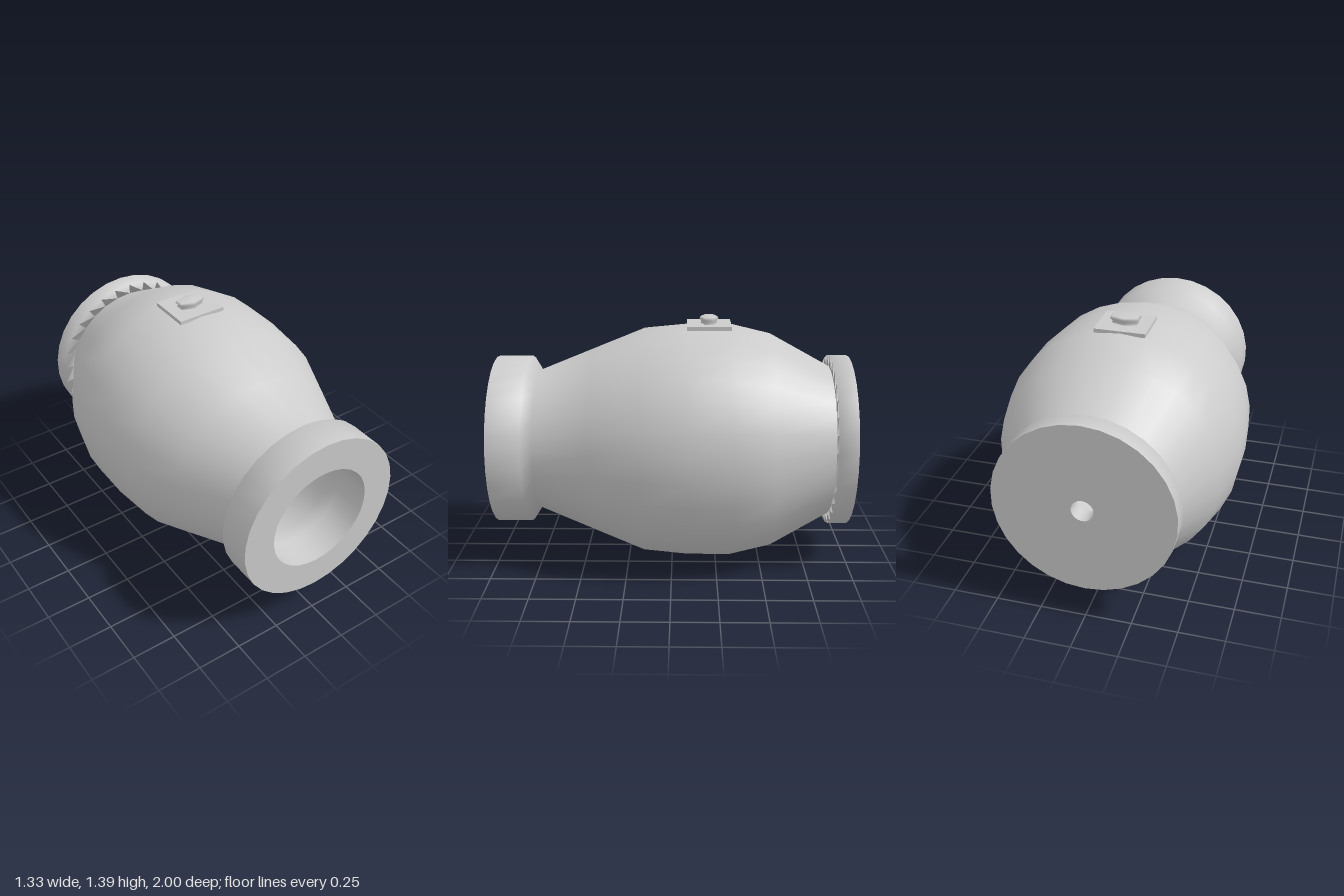
import * as THREE from 'three';

const AXIS_Y = 0.668;
const material = new THREE.MeshStandardMaterial({ color: 0xcccccc });

// Profile of [radius, z] pairs turned around the horizontal z axis
function turned(name, profile) {
  const points = profile.map(([r, z]) => new THREE.Vector2(r, z));
  const geometry = new THREE.LatheGeometry(points, 30);
  geometry.rotateX(Math.PI / 2);
  const mesh = new THREE.Mesh(geometry, material);
  mesh.name = name;
  mesh.position.y = AXIS_Y;
  return mesh;
}

export function createModel() {
  const group = new THREE.Group();
  group.name = 'barrelHousing';

  // Outer shell: rear flange, bulging body, pinched neck, front collar
  group.add(turned('outerShell', [
    [0.487, -1], [0.487, -0.893], [0.43, -0.89], [0.612, -0.56],
    [0.667, -0.33], [0.667, -0.09], [0.643, 0.16], [0.53, 0.44],
    [0.40, 0.76], [0.48, 0.81], [0.48, 1],
  ]));

  // Flat ends
  group.add(turned('frontRim', [[0.48, 1], [0.30, 1]]));
  group.add(turned('rearFace', [[0.06, -1], [0.487, -1]]));

  // Hollow inside: mouth, neck, chamber and small rear outlet
  group.add(turned('chamber', [
    [0.30, 1], [0.30, 0.81], [0.273, 0.75], [0.39, 0.44], [0.47, 0.16],
    [0.49, -0.09], [0.48, -0.33], [0.42, -0.56], [0.28, -0.8], [0.11, -0.9],
  ]));
  group.add(turned('outletSeat', [[0.11, -0.9], [0.06, -0.91]]));
  group.add(turned('outletBore', [[0.06, -0.91], [0.06, -1]]));

  // Mounting plate on top
  const plate = new THREE.Mesh(new THREE.BoxGeometry(0.28, 0.022, 0.248), material);
  plate.name = 'topPlate';
  plate.position.set(0, 1.335, -0.205);
  group.add(plate);

  // Flattened six-sided button, wider at the top
  const buttonProfile = [[0.08, 0], [0.076, 0.015], [0.092, 0.03], [0.08, 0.041], [0, 0.043]]
    .map(([r, y]) => new THREE.Vector2(r, y));
  const button = new THREE.Mesh(new THREE.LatheGeometry(buttonProfile, 6), material);
  button.name = 'topButton';
  button.scale.z = 0.58;
  button.position.set(0, 1.344, -0.205);
  group.add(button);

  return group;
}
